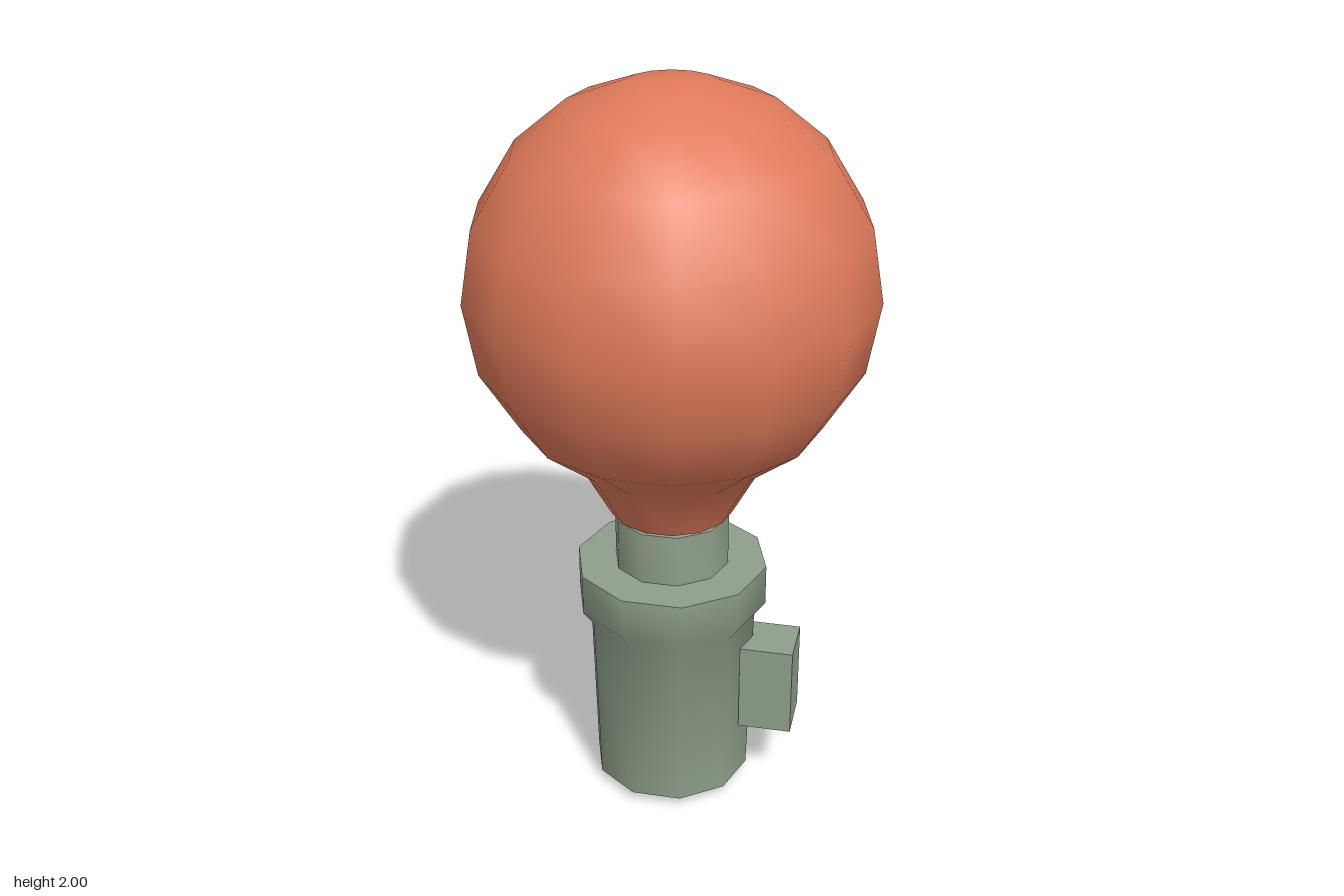
import * as THREE from 'three';
import { toCreasedNormals } from 'three/addons/utils/BufferGeometryUtils.js';

// Revolved part with soft sides, sharp rims and a corner on the x axis
function turned(name, profile, sides, material) {
  const points = profile.map(([r, y]) => new THREE.Vector2(r, y));
  const geometry = new THREE.LatheGeometry(points, sides, Math.PI / 2);
  const mesh = new THREE.Mesh(toCreasedNormals(geometry, 0.85), material);
  mesh.name = name;
  return mesh;
}

export function createModel() {
  const orange = new THREE.MeshStandardMaterial({ color: 0xe07a5a });
  orange.name = 'bulb orange';
  const green = new THREE.MeshStandardMaterial({ color: 0x8f9f8a });
  green.name = 'socket grey green';

  const model = new THREE.Group();
  model.name = 'lightBulb';

  // Glass globe tapering into its neck
  model.add(turned('bulb', [
    [0, 0.835], [0.165, 0.845], [0.25, 1.0], [0.395, 1.115], [0.497, 1.28],
    [0.53, 1.47], [0.497, 1.66], [0.395, 1.825], [0.26, 1.935], [0.11, 1.99], [0, 2.0],
  ], 14, orange));

  // Tapered socket with a shallow pointed base and a wide rim
  model.add(turned('socket', [
    [0, 0], [0.217, 0.03], [0.231, 0.53], [0.261, 0.572], [0.261, 0.685], [0, 0.69],
  ], 10, green));

  // Collar between socket and bulb
  model.add(turned('collar', [
    [0.156, 0.68], [0.156, 0.832], [0, 0.835],
  ], 10, green));

  // Switch block on the left side
  const block = new THREE.Mesh(new THREE.BoxGeometry(0.145, 0.255, 0.144), green);
  block.name = 'switchBlock';
  block.position.set(0.278, 0.333, 0);
  model.add(block);

  return model;
}
